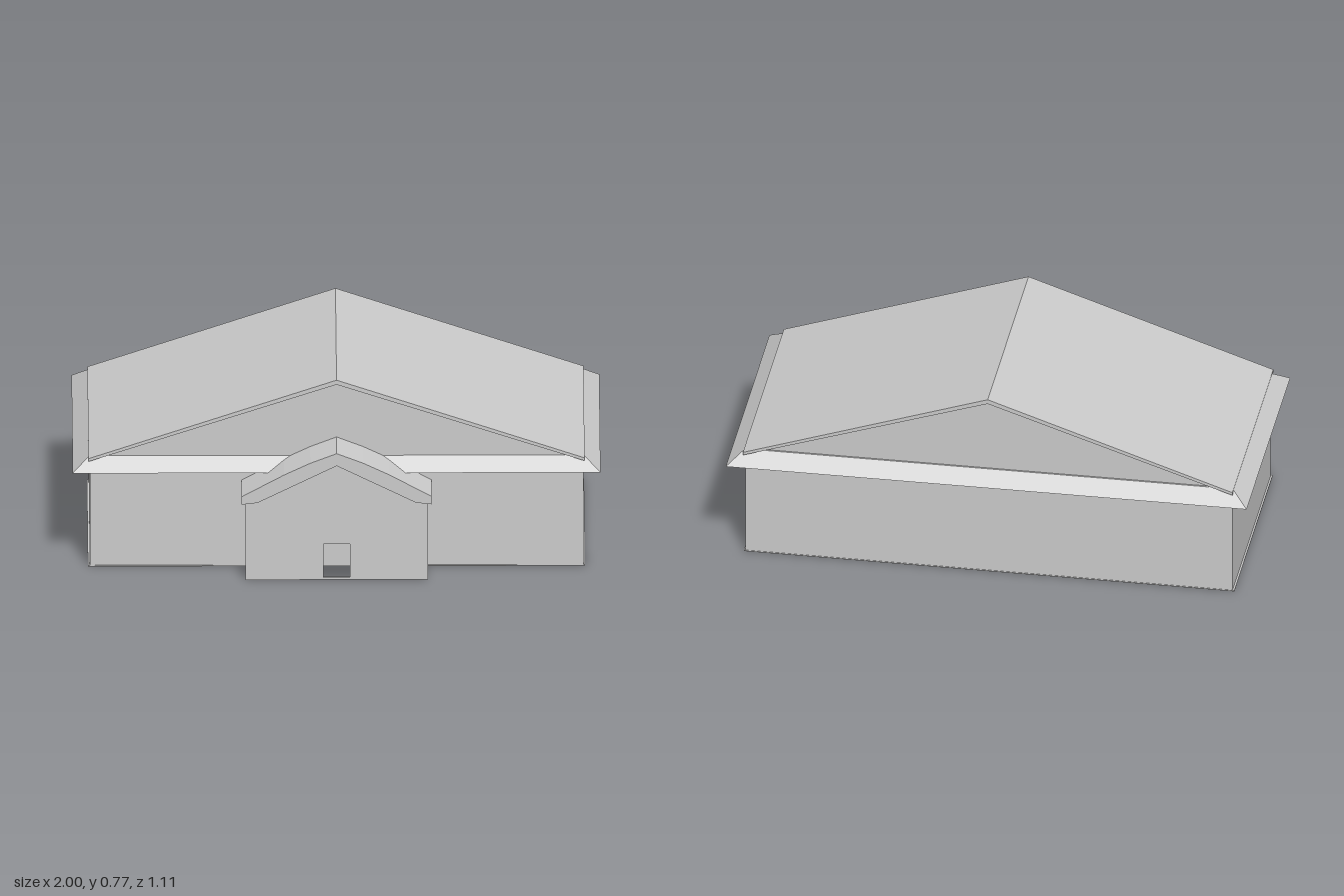
import * as THREE from 'three';

const wall = new THREE.MeshStandardMaterial({ color: 0xcccccc });
wall.name = 'plain grey';

export function createModel() {
  const model = new THREE.Group();
  model.name = 'house';

  const add = (name, geometry) => {
    const mesh = new THREE.Mesh(geometry, wall);
    mesh.name = name;
    model.add(mesh);
    return mesh;
  };

  // Box given by its limits on each axis
  const box = (x, y0, y1, z0, z1) =>
    new THREE.BoxGeometry(2 * x, y1 - y0, z1 - z0).translate(0, (y0 + y1) / 2, (z0 + z1) / 2);

  // Profile mirrored about x = 0; both edges run from the centre outwards
  const symmetric = (upper, lower) => {
    const mirror = (pts) => pts.filter(([x]) => x > 0).map(([x, y]) => [-x, y]);
    const outline = [
      ...mirror(upper).reverse(), ...upper,
      ...[...lower].reverse(), ...mirror(lower),
    ];
    return new THREE.Shape(outline.map(([x, y]) => new THREE.Vector2(x, y)));
  };
  const extrude = (shape, z0, z1) =>
    new THREE.ExtrudeGeometry(shape, { depth: z1 - z0, bevelEnabled: false }).translate(0, 0, z0);

  // Main block on a very thin base plate
  add('mainWalls', box(0.935, 0, 0.405, -0.485, 0.4));
  add('basePlate', box(0.942, 0, 0.004, -0.487, 0.402));

  // Sloping eave skirt: a box whose top is drawn in
  const skirt = box(1, 0.402, 0.45, -0.555, 0.46).toNonIndexed();
  const p = skirt.attributes.position;
  for (let i = 0; i < p.count; i++) {
    if (p.getY(i) > 0.43) {
      p.setX(i, Math.sign(p.getX(i)) * 0.937);
      p.setZ(i, p.getZ(i) > 0 ? 0.4 : -0.492);
    }
  }
  skirt.computeVertexNormals();
  add('eaveSkirt', skirt);

  // Gable walls and the roof slabs that overhang them
  add('gableWalls', extrude(symmetric([[0, 0.757], [0.925, 0.446]], [[0.925, 0.42]]), -0.485, 0.4));
  add('mainRoof', extrude(
    symmetric([[0, 0.768], [0.94, 0.45]], [[0, 0.75], [0.94, 0.438]]), -0.52, 0.43));

  // Porch with a deep door opening
  const porchShape = (halfWidth) => {
    const shape = symmetric([[0, 0.49], [halfWidth, 0.33]], [[halfWidth, 0]]);
    const door = new THREE.Path();
    door.moveTo(-0.05, 0.01).lineTo(-0.05, 0.145).lineTo(0.05, 0.145).lineTo(0.05, 0.01).closePath();
    shape.holes.push(door);
    return shape;
  };
  add('porchWalls', extrude(porchShape(0.34), 0.4, 0.534));
  add('porchFront', extrude(porchShape(0.345), 0.534, 0.543));

  // Porch roof, dipping slightly towards the front
  const porchRoof = extrude(symmetric(
    [[0, 0.525], [0.1, 0.486], [0.2, 0.438], [0.36, 0.35]],
    [[0, 0.475], [0.3, 0.325], [0.36, 0.318]]), 0.4, 0.555);
  const r = porchRoof.attributes.position;
  for (let i = 0; i < r.count; i++) r.setY(i, r.getY(i) - (r.getZ(i) - 0.4) * 0.045);
  porchRoof.computeVertexNormals();
  add('porchRoof', porchRoof);

  return model;
}
